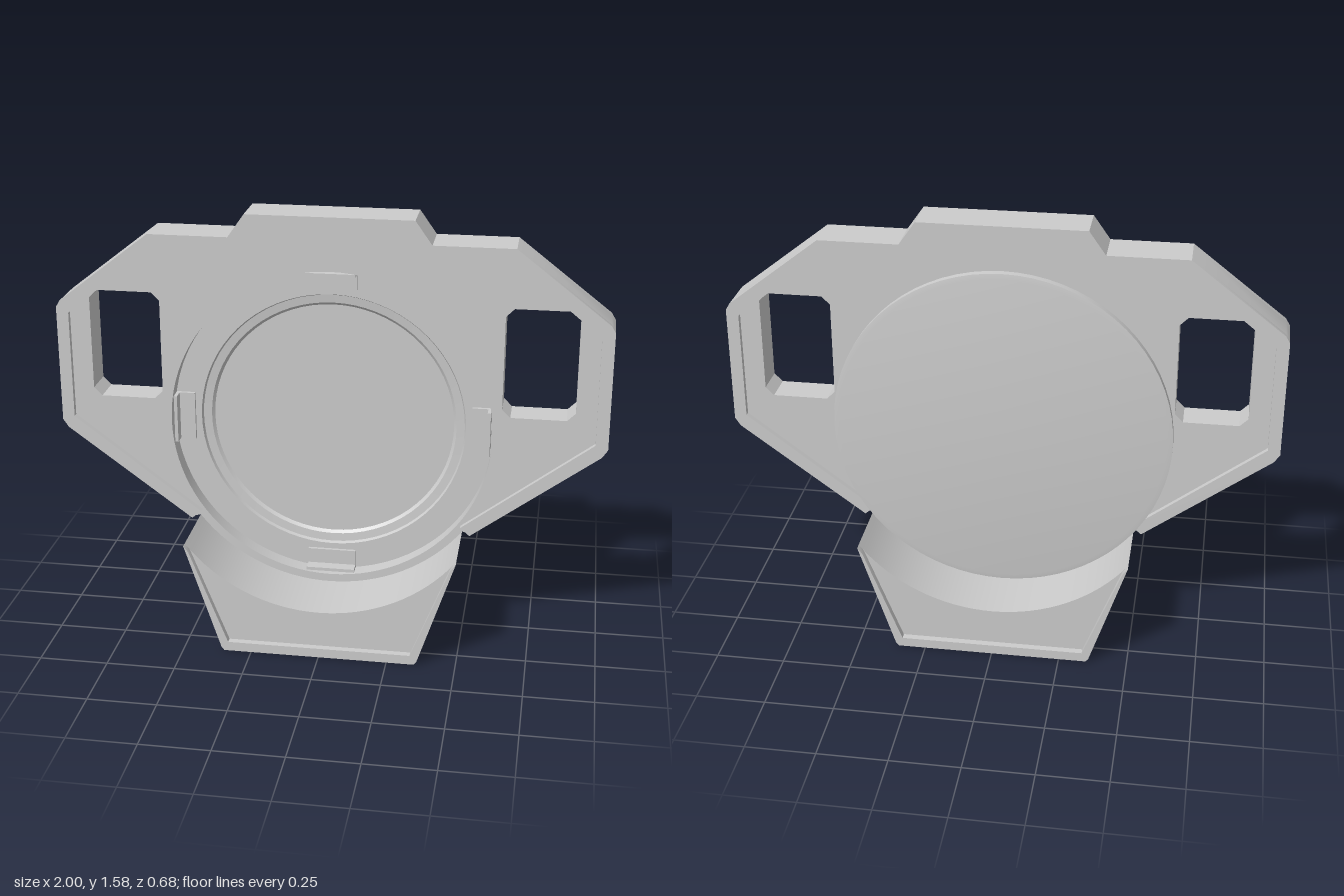
import * as THREE from 'three';
import { toCreasedNormals } from 'three/addons/utils/BufferGeometryUtils.js';

const CY = 0.79;   // height of the round housing's centre
const R = 0.62;    // housing radius, also the cradle radius
const material = new THREE.MeshStandardMaterial({ color: 0xcccccc });

function addMesh(parent, name, geometry, crease = 0.5) {
  const mesh = new THREE.Mesh(toCreasedNormals(geometry, crease), material);
  mesh.name = name;
  parent.add(mesh);
  return mesh;
}

const toShape = (pts) => new THREE.Shape(pts.map(([x, y]) => new THREE.Vector2(x, y)));
const mirrored = (pts) => pts.map(([x, y]) => [-x, y]).reverse();
const symmetric = (pts) => [...pts, ...mirrored(pts)];

// extrude a shape between two depths
function slab(shape, z0, z1) {
  return new THREE.ExtrudeGeometry(shape, { depth: z1 - z0, bevelEnabled: false, curveSegments: 48 })
    .translate(0, 0, z0);
}

// points on the lower housing arc, left to right
function lowerArc(from, to, n = 32) {
  const pts = [];
  for (let i = 0; i <= n; i++) {
    const a = THREE.MathUtils.degToRad(from + (to - from) * i / n);
    pts.push([R * Math.cos(a), CY + R * Math.sin(a)]);
  }
  return pts;
}

export function createModel() {
  const model = new THREE.Group();
  model.name = 'cradledFrame';

  // Plate outline, from lower right over the top tab
  const outer = symmetric([
    [0.52, 0.405], [0.98, 0.745], [1, 0.775], [1, 1.21], [0.985, 1.235],
    [0.65, 1.495], [0.36, 1.495], [0.30, 1.58],
  ]);
  const inner = symmetric([[0.485, 0.435], [0.955, 0.79], [0.955, 1.19], [0.64, 1.445]]);

  const plate = new THREE.Group();
  plate.name = 'plate';
  model.add(plate);

  // Recessed middle layer with handle windows and round opening
  const core = toShape([...outer, ...lowerArc(-142.5, -37.5)]);
  core.holes.push(new THREE.Path().absarc(0, CY, 0.59, 0, Math.PI * 2, true));
  const windowPts = [
    [0.62, 0.90], [0.65, 0.87], [0.85, 0.87], [0.88, 0.90],
    [0.88, 1.245], [0.85, 1.275], [0.65, 1.275], [0.62, 1.245],
  ];
  for (const pts of [windowPts, mirrored(windowPts)]) {
    core.holes.push(new THREE.Path(pts.map(([x, y]) => new THREE.Vector2(x, y))));
  }
  addMesh(plate, 'plateCore', slab(core, -0.06, 0.06));

  // Raised border on both faces
  const border = toShape([...outer, ...inner.slice().reverse()]);
  addMesh(plate, 'frontBorder', slab(border, 0.06, 0.08));
  addMesh(plate, 'backBorder', slab(border, -0.08, -0.06));

  // Round housing: back disc, stepped seat and floor
  const profile = [
    [0, -0.09], [0.6, -0.09], [R, -0.087], [R, -0.06], [0.59, -0.06], [0.59, 0],
    [0.49, 0], [0.485, -0.012], [0.455, -0.015], [0.445, -0.025], [0, -0.025],
  ].map(([r, z]) => new THREE.Vector2(r, z));
  const housing = addMesh(model, 'roundHousing',
    new THREE.LatheGeometry(profile, 72).rotateX(Math.PI / 2), 0.3);
  housing.position.y = CY;

  // Four retaining clips: a foot on the seat and a lip against the wall
  for (let i = 0; i < 4; i++) {
    const clip = new THREE.Group();
    clip.name = 'clip';
    addMesh(clip, 'clipFoot', new THREE.BoxGeometry(0.18, 0.07, 0.012).translate(0, -0.547, 0.006));
    addMesh(clip, 'clipLip', new THREE.BoxGeometry(0.18, 0.012, 0.055).translate(0, -0.575, 0.0275));
    clip.position.y = CY;
    clip.rotation.z = i * Math.PI / 2;
    model.add(clip);
  }

  // Cradle base with a concave top and a border on both ends
  const base = new THREE.Group();
  base.name = 'cradleBase';
  model.add(base);
  const sides = [[-0.36, 0.012], [-0.35, 0], [0.35, 0], [0.36, 0.012]];
  const top = lowerArc(-37.5, -142.5);
  addMesh(base, 'baseBody', slab(toShape([...sides, ...top]), -0.315, 0.315));
  const baseBorder = toShape([
    top[top.length - 1], ...sides, top[0],
    [0.474, 0.39], [0.335, 0.035], [-0.335, 0.035], [-0.474, 0.39],
  ]);
  addMesh(base, 'baseFrontBorder', slab(baseBorder, 0.315, 0.34));
  addMesh(base, 'baseBackBorder', slab(baseBorder, -0.34, -0.315));

  return model;
}
